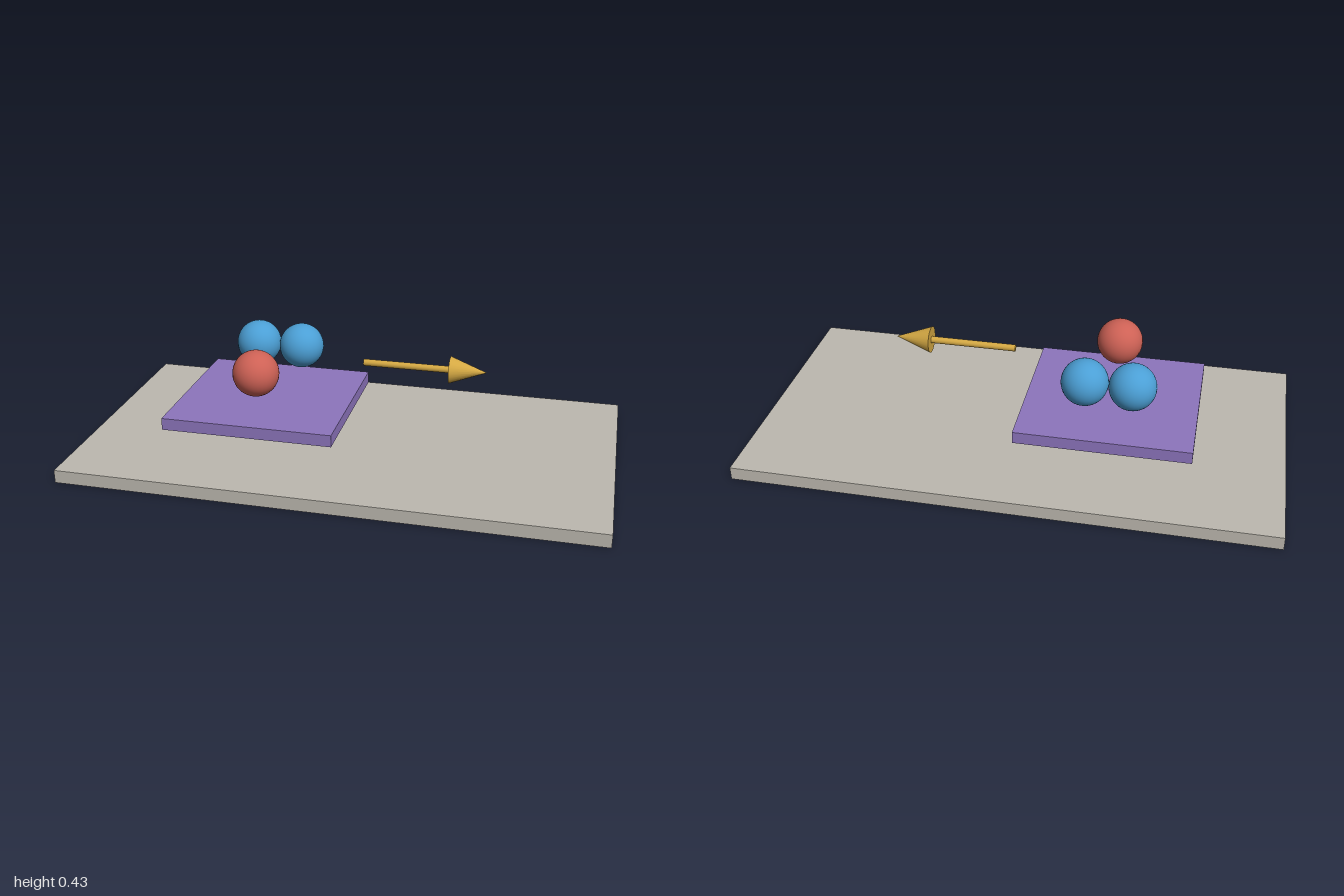
import * as THREE from 'three';

export function createModel() {
  const model = new THREE.Group();
  const material = (name, color) => {
    const m = new THREE.MeshStandardMaterial({ color });
    m.name = name;
    return m;
  };
  const stone = material('warm grey', 0xbdb9b0);
  const purple = material('purple', 0x8d75bd);
  const red = material('red', 0xcd6155);
  const blue = material('blue', 0x4b9fd5);
  const gold = material('gold', 0xd4a843);

  const add = (name, geometry, mat, x, y, z, parent = model) => {
    const mesh = new THREE.Mesh(geometry, mat);
    mesh.name = name;
    mesh.position.set(x, y, z);
    parent.add(mesh);
    return mesh;
  };

  // Ground slab and the floating plate above it
  add('baseSlab', new THREE.BoxGeometry(2, 0.05, 1.076), stone, 0, 0.025, 0);
  add('plate', new THREE.BoxGeometry(0.652, 0.046, 0.622), purple, -0.337, 0.17, 0);

  // One red ball in front, two touching blue balls behind
  const ball = new THREE.SphereGeometry(0.0875, 32, 24);
  add('redBall', ball, red, -0.337, 0.346, 0.16);
  for (const side of [-1, 1]) {
    add(side < 0 ? 'blueBallRight' : 'blueBallLeft', ball, blue, -0.337 + side * 0.0875, 0.346, -0.16);
  }

  // Arrow pointing along +x
  const arrow = new THREE.Group();
  arrow.name = 'arrow';
  arrow.position.set(0.04, 0.362, 0);
  arrow.rotation.z = -Math.PI / 2;
  model.add(arrow);
  add('arrowShaft', new THREE.CylinderGeometry(0.013, 0.013, 0.328, 20), gold, 0, 0.164, 0, arrow);
  add('arrowHead', new THREE.ConeGeometry(0.051, 0.138, 24), gold, 0, 0.397, 0, arrow);

  return model;
}
